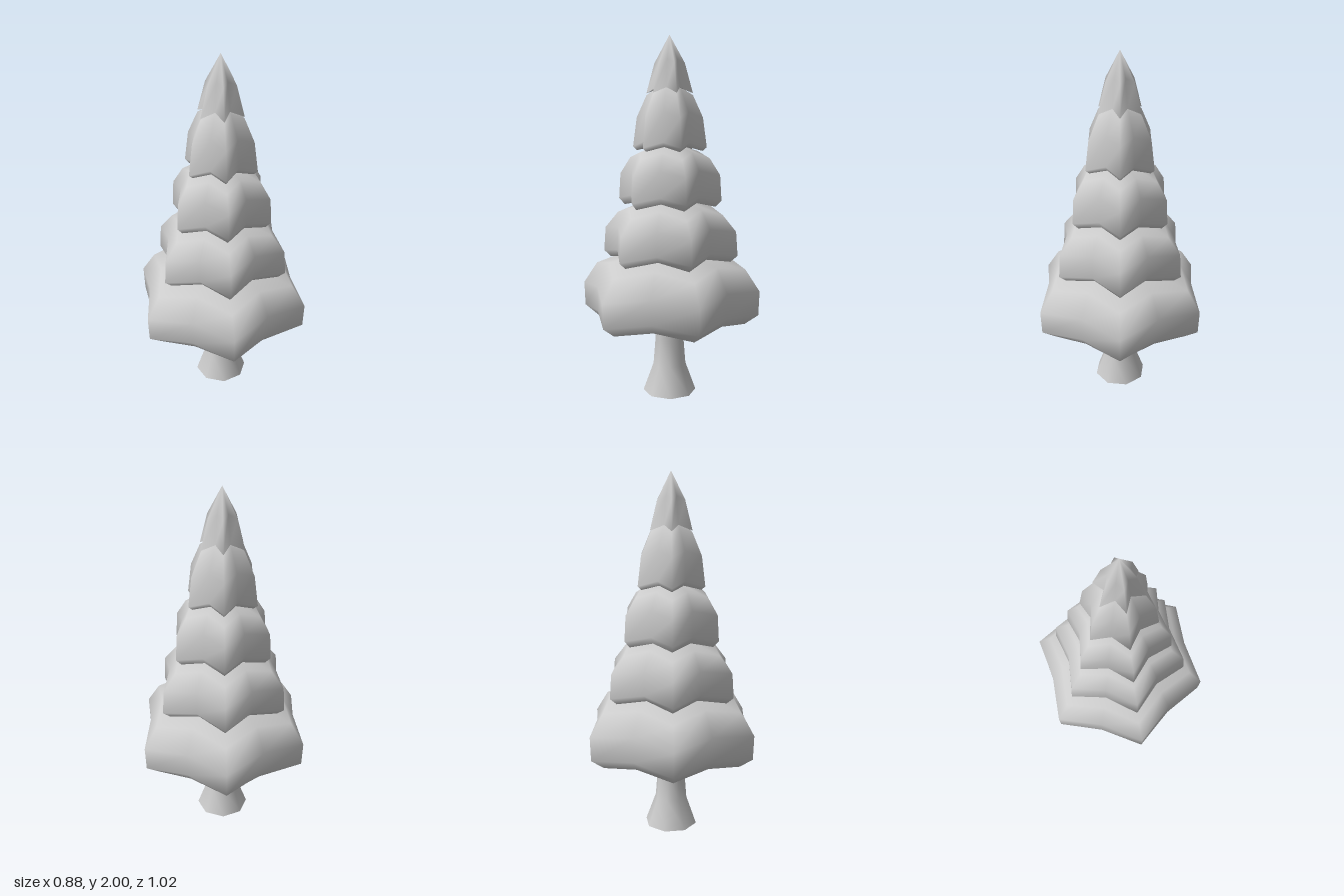
import * as THREE from 'three';

const material = new THREE.MeshStandardMaterial({ color: 0xcccccc, side: THREE.DoubleSide });

// Surface through six-pointed star rings, closed by an apex on the axis.
// Each ring is [tip radius, tip y, notch radius, notch y], listed bottom to top.
function starShell(rings, apexY) {
  const n = 12, positions = [], index = [];
  for (const [tipR, tipY, notchR, notchY] of rings) {
    for (let i = 0; i < n; i++) {
      const a = (i / n) * Math.PI * 2;
      const tip = i % 2 === 0;
      const r = tip ? tipR : notchR;
      positions.push(Math.sin(a) * r, tip ? tipY : notchY, Math.cos(a) * r);
    }
  }
  const apex = positions.length / 3;
  positions.push(0, apexY, 0);
  rings.forEach((_, k) => {
    for (let i = 0; i < n; i++) {
      const a = k * n + i, b = k * n + (i + 1) % n;
      if (k === rings.length - 1) index.push(a, b, apex);
      else index.push(a, b, b + n, a, b + n, a + n);
    }
  });
  const geometry = new THREE.BufferGeometry();
  geometry.setAttribute('position', new THREE.Float32BufferAttribute(positions, 3));
  geometry.setIndex(index);
  geometry.computeVertexNormals();
  return geometry;
}

// Underside: the same star, wound to face down
function starBase(ring, centreY) {
  const geometry = starShell([ring], centreY);
  geometry.setIndex(Array.from(geometry.index.array).reverse());
  geometry.computeVertexNormals();
  return geometry;
}

function addMesh(parent, name, geometry) {
  const mesh = new THREE.Mesh(geometry, material);
  mesh.name = name;
  parent.add(mesh);
}

export function createModel() {
  const tree = new THREE.Group();
  tree.name = 'pineTree';

  // Flared eight-sided trunk and its foot
  const profile = [[0.15, 0], [0.092, 0.16], [0.08, 0.31], [0.088, 0.5]];
  addMesh(tree, 'trunk', new THREE.LatheGeometry(profile.map(([r, y]) => new THREE.Vector2(r, y)), 8));
  addMesh(tree, 'trunkFoot', new THREE.CircleGeometry(0.15, 8).rotateX(Math.PI / 2));

  // Foliage tiers, lowest first
  const tiers = [
    { apex: 0.84, rings: [[0.43, 0.42, 0.38, 0.455], [0.505, 0.475, 0.415, 0.505],
      [0.51, 0.61, 0.415, 0.64], [0.43, 0.73, 0.345, 0.77]] },
    { apex: 1.13, rings: [[0.345, 0.77, 0.27, 0.805], [0.385, 0.805, 0.30, 0.84],
      [0.375, 0.94, 0.295, 0.97], [0.30, 1.03, 0.235, 1.07]] },
    { apex: 1.43, rings: [[0.26, 1.075, 0.20, 1.105], [0.292, 1.11, 0.22, 1.14],
      [0.283, 1.25, 0.215, 1.28], [0.225, 1.34, 0.165, 1.375]] },
    { apex: 1.76, rings: [[0.185, 1.38, 0.13, 1.405], [0.208, 1.40, 0.148, 1.43],
      [0.186, 1.56, 0.138, 1.59], [0.13, 1.68, 0.085, 1.71]] },
    { apex: 2, rings: [[0.13, 1.69, 0.075, 1.72], [0.085, 1.85, 0.055, 1.87]] },
  ];
  tiers.forEach(({ rings, apex }, i) => {
    const tier = new THREE.Group();
    tier.name = `foliageTier${i + 1}`;
    addMesh(tier, 'foliage', starShell(rings, apex));
    addMesh(tier, 'underside', starBase(rings[0], rings[0][3] + 0.02));
    tree.add(tier);
  });
  return tree;
}
